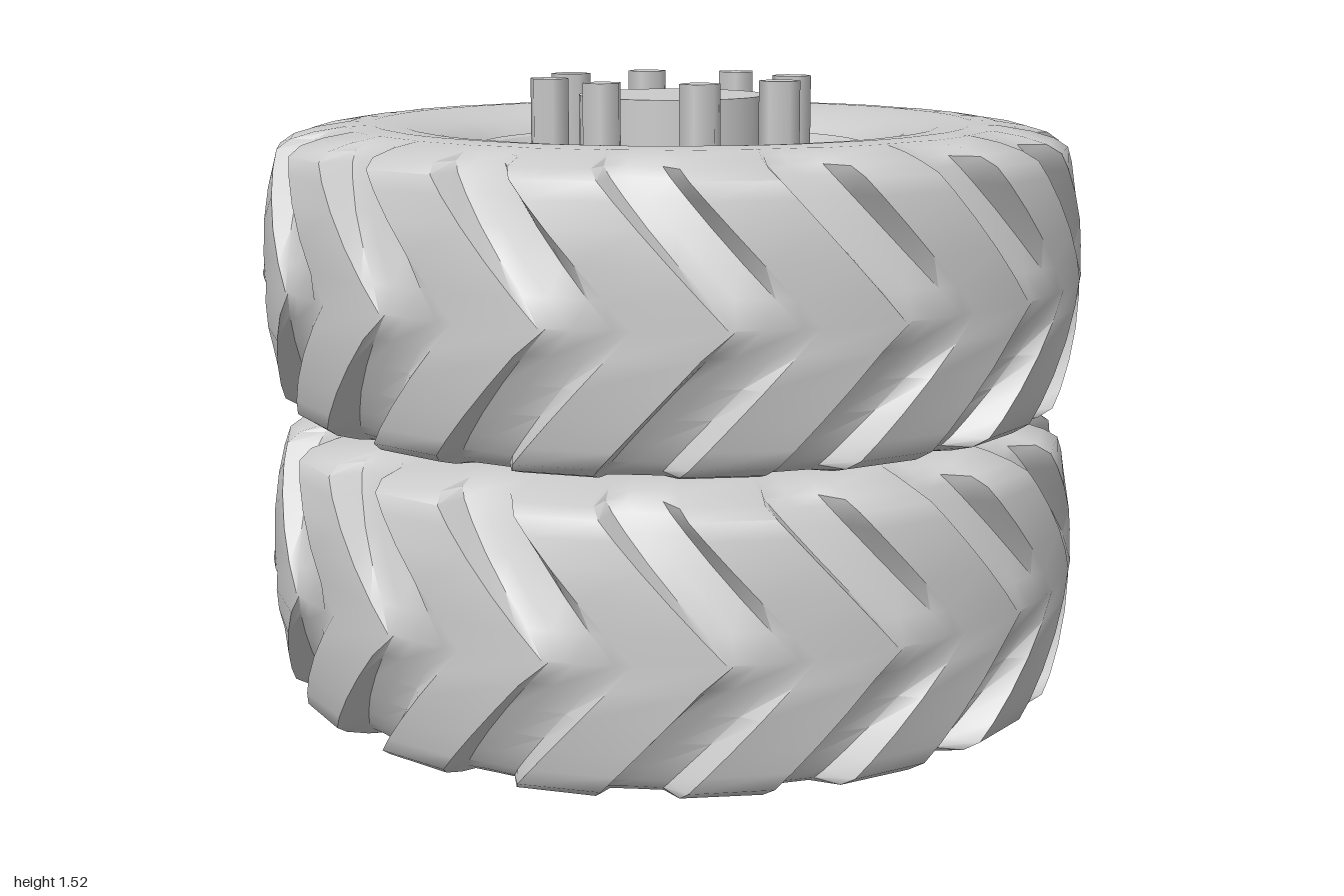
import * as THREE from 'three';
import { toCreasedNormals } from 'three/addons/utils/BufferGeometryUtils.js';

const material = new THREE.MeshStandardMaterial({ color: 0xcccccc });
const LUGS = 16;
const PITCH = (Math.PI * 2) / LUGS;

// Half cross-section of the tyre: [height from centre, lug radius, groove radius]
const HALF = [
  [0, 1, 1], [0.06, 0.998, 0.978], [0.13, 0.992, 0.95], [0.2, 0.982, 0.922],
  [0.26, 0.97, 0.895], [0.3, 0.958, 0.875], [0.322, 0.925, 0.86],
  [0.338, 0.87, 0.835], [0.349, 0.8, 0.79], [0.352, 0.73, 0.73],
  [0.345, 0.65, 0.65], [0.328, 0.57, 0.57], [0.305, 0.51, 0.51], [0.27, 0.475, 0.475],
];
// One tread pitch: [fraction of the pitch, height of the lug there]
const TREAD = [[0, 1], [0.04, 0.08], [0.18, 0], [0.4, 0.08], [0.5, 1]];

function tyreGeometry() {
  const rows = [
    ...HALF.slice(1).reverse().map(([y, a, b]) => [-y, a, b]),
    ...HALF,
  ];
  const columns = LUGS * TREAD.length;
  const position = [];
  const index = [];
  rows.forEach(([y, lug, groove], i) => {
    // chevron sweep, the same on both halves of the tread
    const sweep = 0.92 * Math.min(Math.abs(y), 0.32);
    for (let j = 0; j < columns; j++) {
      const [t, h] = TREAD[j % TREAD.length];
      const angle = (Math.floor(j / TREAD.length) + t - 0.25) * PITCH - sweep;
      const r = groove + (lug - groove) * h;
      position.push(r * Math.sin(angle), y, r * Math.cos(angle));
      if (i === 0) continue;
      const next = (j + 1) % columns;
      const a = (i - 1) * columns + j, b = (i - 1) * columns + next;
      const c = i * columns + next, d = i * columns + j;
      index.push(a, b, c, a, c, d);
    }
  });
  const geometry = new THREE.BufferGeometry();
  geometry.setAttribute('position', new THREE.Float32BufferAttribute(position, 3));
  geometry.setIndex(index);
  return toCreasedNormals(geometry, 0.9);
}

// Rim: flat underside with a deep centre bore, stepped dish on top
const RIM = [
  [0, 0.2], [0.235, 0.2], [0.235, -0.288], [0.478, -0.288], [0.478, 0.295],
  [0.46, 0.29], [0.44, 0.268], [0.41, 0.268], [0.39, 0.255], [0.375, 0.225], [0, 0.225],
];

function add(parent, name, geometry, x = 0, y = 0, z = 0) {
  const mesh = new THREE.Mesh(geometry, material);
  mesh.name = name;
  mesh.position.set(x, y, z);
  parent.add(mesh);
  return mesh;
}

const tyre = tyreGeometry();
const rim = toCreasedNormals(
  new THREE.LatheGeometry(RIM.map(([r, y]) => new THREE.Vector2(r, y)), 48), 0.5);
const hub = new THREE.CylinderGeometry(0.228, 0.228, 0.19, 32);
const bolt = new THREE.CylinderGeometry(0.049, 0.049, 0.235, 6);

function makeWheel(name, y) {
  const wheel = new THREE.Group();
  wheel.name = name;
  wheel.position.y = y;
  add(wheel, 'tyre', tyre);
  add(wheel, 'rim', rim);
  add(wheel, 'hub', hub, 0, 0.32, 0);
  // ring of hexagonal wheel bolts, each with a flat facing outward
  for (let i = 0; i < 8; i++) {
    const a = (i * Math.PI) / 4;
    add(wheel, 'wheelBolt', bolt, 0.303 * Math.sin(a), 0.34, 0.303 * Math.cos(a)).rotation.y = a + Math.PI / 6;
  }
  return wheel;
}

export function createModel() {
  const model = new THREE.Group();
  model.name = 'stackedWheels';
  model.add(makeWheel('lowerWheel', 0.353), makeWheel('upperWheel', 1.063));
  return model;
}
